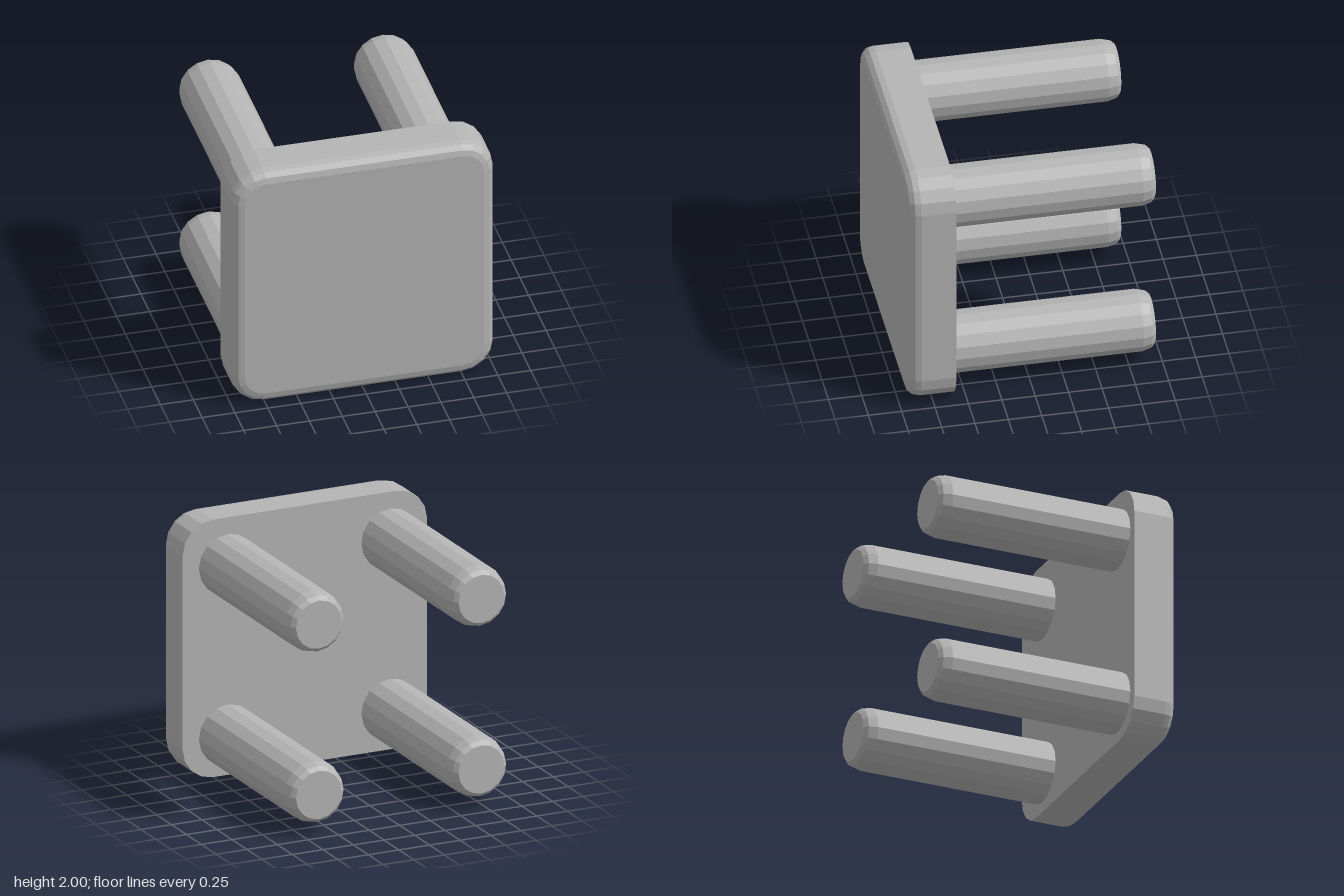
import * as THREE from 'three';

const grey = new THREE.MeshStandardMaterial({ color: 0xb4b4b4, flatShading: true });
grey.name = 'plain grey';

// Counter-clockwise rounded square, shrunk evenly by inset
function roundedSquare(inset, z) {
  const half = 1, radius = 0.25, steps = 4, ring = [];
  const corners = [[1, 1], [-1, 1], [-1, -1], [1, -1]];
  corners.forEach(([sx, sy], c) => {
    for (let i = 0; i <= steps; i++) {
      const a = (c + i / steps) * Math.PI / 2;
      ring.push([
        sx * (half - radius) + (radius - inset) * Math.cos(a),
        1 + sy * (half - radius) + (radius - inset) * Math.sin(a),
        z,
      ]);
    }
  });
  return ring;
}

// Plate with rounded corners and a rounded front rim; the back rim is square
function plateGeometry() {
  const back = 0.59, front = 0.94, bevel = 0.09, steps = 3;
  const rings = [roundedSquare(0, back)];
  for (let i = 0; i <= steps; i++) {
    const a = (i / steps) * Math.PI / 2;
    rings.push(roundedSquare(bevel * (1 - Math.cos(a)), front - bevel * (1 - Math.sin(a))));
  }
  const n = rings[0].length, pos = [];
  const tri = (...points) => points.forEach((p) => pos.push(...p));
  for (let r = 0; r < rings.length - 1; r++) {
    for (let i = 0; i < n; i++) {
      const j = (i + 1) % n, lo = rings[r], hi = rings[r + 1];
      tri(lo[i], lo[j], hi[j]);
      tri(lo[i], hi[j], hi[i]);
    }
  }
  // Front and back faces
  const first = rings[0], last = rings[rings.length - 1];
  for (let i = 0; i < n; i++) {
    const j = (i + 1) % n;
    tri([0, 1, front], last[i], last[j]);
    tri([0, 1, back], first[j], first[i]);
  }
  const geo = new THREE.BufferGeometry();
  geo.setAttribute('position', new THREE.Float32BufferAttribute(pos, 3));
  geo.computeVertexNormals();
  return geo;
}

// Sixteen-sided peg with a chamfered tip, pointing backwards
function pegGeometry() {
  const profile = [[0.235, -0.59], [0.235, 0.84], [0.217, 0.91], [0.187, 0.94], [0, 0.94]]
    .map(([r, y]) => new THREE.Vector2(r, y));
  return new THREE.LatheGeometry(profile, 16).rotateX(-Math.PI / 2);
}

export function createModel() {
  const model = new THREE.Group();
  model.name = 'peggedPlate';

  const plate = new THREE.Mesh(plateGeometry(), grey);
  plate.name = 'plate';
  model.add(plate);

  // Four pegs, set slightly to the model's right
  const peg = pegGeometry();
  for (const [side, x] of [['Right', -0.697], ['Left', 0.632]]) {
    for (const [level, y] of [['upper', 1.635], ['lower', 0.312]]) {
      const mesh = new THREE.Mesh(peg, grey);
      mesh.name = `${level}${side}Peg`;
      mesh.position.set(x, y, 0);
      model.add(mesh);
    }
  }
  return model;
}
